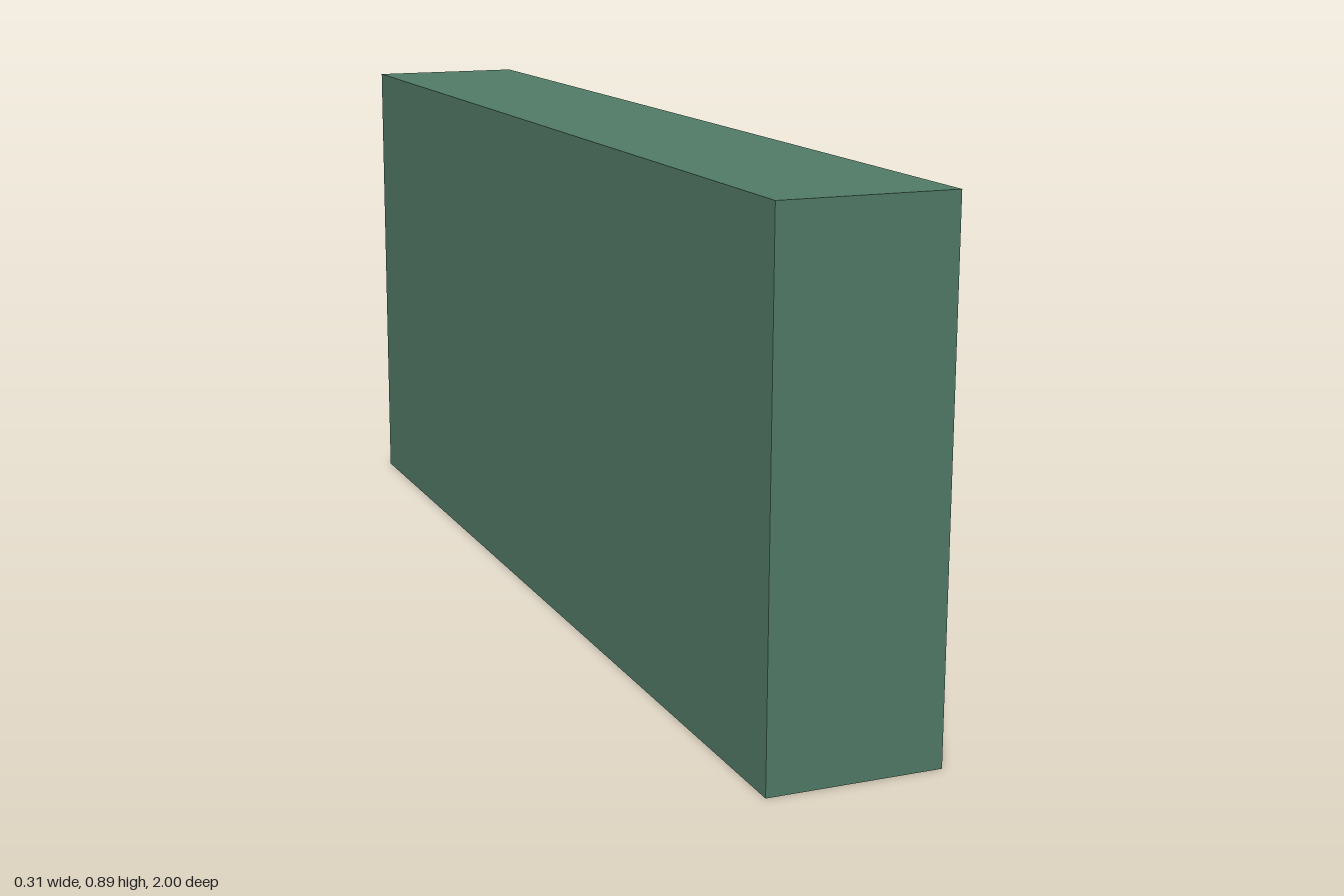
import * as THREE from 'three';

const DOORS = 9, PITCH = 0.2225, WIDTH = 0.18;
const BOTTOM = 0.04, TOP = 0.857;
const BACK = -0.155, FLOOR = 0.131, FACE = 0.143, DOOR_FACE = 0.141;

const paint = (color) => new THREE.MeshStandardMaterial({ color, flatShading: true });
const bodyMat = paint(0x527c68);
const doorMat = paint(0x318050);
const metalMat = paint(0xcccccc);

function add(parent, name, geometry, material) {
  const mesh = new THREE.Mesh(geometry, material);
  mesh.name = name;
  parent.add(mesh);
  return mesh;
}

// Box given by its limits on each axis
function box(x0, x1, y0, y1, z0, z1) {
  return new THREE.BoxGeometry(x1 - x0, y1 - y0, z1 - z0)
    .translate((x0 + x1) / 2, (y0 + y1) / 2, (z0 + z1) / 2);
}

function rectangle(Type, x0, x1, y0, y1) {
  return new Type([[x0, y0], [x1, y0], [x1, y1], [x0, y1]].map((p) => new THREE.Vector2(...p)));
}

// Sloped vent hood: flush with the door at its top, proud at its lower edge
function louvre(x0, x1, y) {
  const profile = new THREE.Shape([
    new THREE.Vector2(0, 0), new THREE.Vector2(0.007, 0), new THREE.Vector2(0.006, 0.003),
    new THREE.Vector2(0, 0.016),
  ]);
  return new THREE.ExtrudeGeometry(profile, { depth: x1 - x0, bevelEnabled: false })
    .rotateY(-Math.PI / 2).scale(1, 1, 1).translate(x1, y, DOOR_FACE);
}

// Latch: back plate with rounded head, projecting lever and lower catch
function createLatch() {
  const latch = new THREE.Group();
  latch.name = 'latch';
  const plate = new THREE.Shape();
  plate.moveTo(-0.011, 0.368);
  plate.lineTo(0.011, 0.368);
  plate.lineTo(0.011, 0.4);
  plate.lineTo(0.007, 0.404);
  plate.lineTo(0.007, 0.412);
  plate.absarc(0, 0.412, 0.007, 0, Math.PI, false);
  plate.lineTo(-0.007, 0.404);
  plate.lineTo(-0.011, 0.4);
  add(latch, 'latchPlate', new THREE.ExtrudeGeometry(plate,
    { depth: 0.003, bevelEnabled: false, curveSegments: 6 }).translate(0, 0, DOOR_FACE - 0.001), metalMat);
  add(latch, 'latchLever', box(-0.005, 0.005, 0.4, 0.418, DOOR_FACE, 0.155), metalMat);
  add(latch, 'latchCatch', box(-0.006, 0.006, 0.37, 0.382, DOOR_FACE, 0.149), metalMat);
  return latch;
}

function createDoor() {
  const door = new THREE.Group();
  door.name = 'door';
  // Panel leaves a shadow gap on the hinge side and at the bottom
  add(door, 'doorPanel', box(0.007, WIDTH, BOTTOM + 0.009, TOP, FLOOR, DOOR_FACE), doorMat);
  [0.824, 0.779, 0.736, 0.699].forEach((y, i) => {
    const inset = i === 0 ? 0.006 : 0;
    add(door, 'louvre', louvre(0.022 + inset, 0.162 - inset, y), doorMat);
  });
  const latch = createLatch();
  latch.position.x = 0.15;
  door.add(latch);
  return door;
}

export function createModel() {
  const group = new THREE.Group();
  group.name = 'lockerRow';
  const lockers = new THREE.Group();
  lockers.name = 'lockers';
  lockers.rotation.y = Math.PI / 2; // doors face +x
  group.add(lockers);

  // Cabinet behind the door frame
  add(lockers, 'cabinet', box(-1, 1, 0, 0.893, BACK, FLOOR), bodyMat);

  // Front frame with one opening per door
  const frame = rectangle(THREE.Shape, -1, 1, 0, 0.893);
  for (let i = 0; i < DOORS; i++) {
    const x = -0.98 + i * PITCH;
    frame.holes.push(rectangle(THREE.Path, x, x + WIDTH, BOTTOM, TOP));
    const door = createDoor();
    door.position.x = x;
    lockers.add(door);
  }
  add(lockers, 'doorFrame', new THREE.ExtrudeGeometry(frame,
    { depth: FACE - FLOOR, bevelEnabled: false }).translate(0, 0, FLOOR), bodyMat);

  return group;
}
